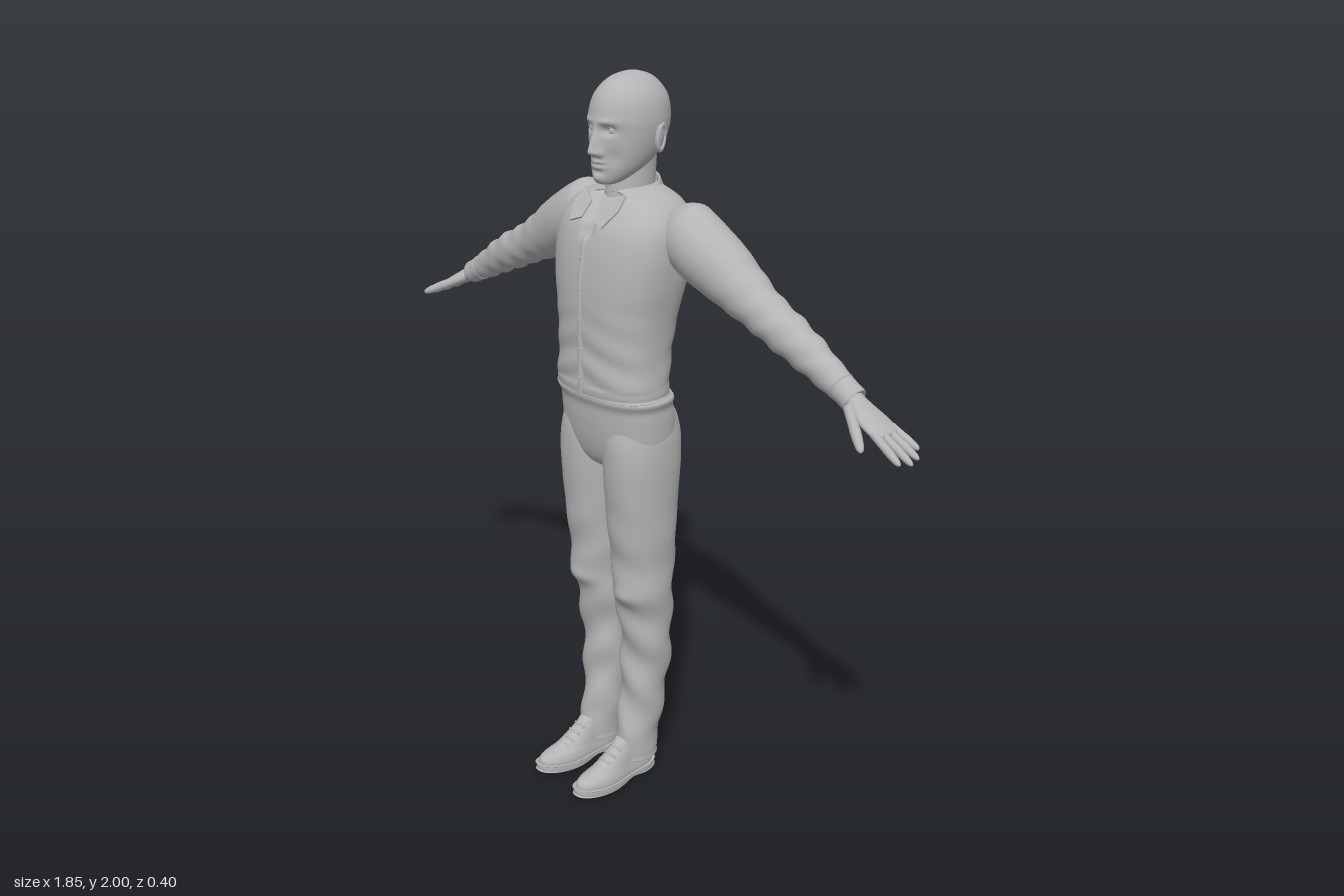
import * as THREE from 'three';

const grey = new THREE.MeshStandardMaterial({ color: 0xb4b4b4 });
grey.name = 'plain grey';

// Smooth loft through rows of [y, centreX, halfWidth, zFront, zBack, squareness]
function loft(rows, { n = 40, k = 5, mod = null, arc = null } = {}) {
  const full = rows.map(r => (r.length > 5 ? r : [...r, 1]));
  const at = i => full[Math.min(Math.max(i, 0), full.length - 1)];
  const rings = [];
  for (let i = 0; i < full.length - 1; i++) {
    for (let s = 0; s < k; s++) {
      const t = s / k;
      rings.push(at(i).map((b, c) => {
        const a = at(i - 1)[c], d = at(i + 1)[c], e = at(i + 2)[c];
        return b + 0.5 * t * (d - a + t * (2 * a - 5 * b + 4 * d - e + t * (3 * (b - d) + e - a)));
      }));
    }
  }
  rings.push(at(full.length - 1));
  const pow = (s, e) => Math.sign(s) * Math.abs(s) ** e;
  const count = arc ? n + 1 : n, [a0, a1] = arc || [0, Math.PI * 2];
  const pos = [], index = [], v = new THREE.Vector3();
  rings.forEach(([y, cx, hw, zf, zb, e], i) => {
    for (let j = 0; j < count; j++) {
      const t = a0 + (a1 - a0) * j / n;
      v.set(cx + hw * pow(Math.sin(t), e), y, (zf + zb) / 2 - (zf - zb) / 2 * pow(Math.cos(t), e));
      if (mod) mod(v, t);
      pos.push(v.x, v.y, v.z);
      if (i < rings.length - 1 && j < n) {
        const a = i * count + j, b = i * count + (j + 1) % count, c = a + count, d = b + count;
        index.push(a, c, b, b, c, d);
      }
    }
  });
  const g = new THREE.BufferGeometry();
  g.setAttribute('position', new THREE.Float32BufferAttribute(pos, 3));
  g.setIndex(index);
  g.computeVertexNormals();
  return g;
}

// Mirror across x, keeping faces outward
function mirror(geo) {
  const g = geo.clone().scale(-1, 1, 1);
  const src = g.index ? Array.from(g.index.array) : Array.from({ length: g.attributes.position.count }, (_, i) => i);
  for (let i = 0; i < src.length; i += 3) [src[i + 1], src[i + 2]] = [src[i + 2], src[i + 1]];
  g.setIndex(src);
  return g;
}

const bump = (x, y, cx, cy, sx, sy) => Math.exp(-(((x - cx) / sx) ** 2) - ((y - cy) / sy) ** 2);

// Facial relief: nose, sockets, brow, lips, chin
function face(v) {
  if (v.z < -0.03) return;
  const x = Math.abs(v.x), y = v.y;
  const up = THREE.MathUtils.smoothstep(y, 1.797, 1.812), down = THREE.MathUtils.clamp((1.885 - y) / 0.07, 0, 1);
  v.z += 0.027 * up * down * Math.exp(-((x / (0.009 + 0.006 * down)) ** 2))
    + 0.007 * bump(x, y, 0.015, 1.808, 0.006, 0.008)
    - 0.013 * bump(x, y, 0.034, 1.867, 0.017, 0.011)
    + 0.005 * bump(x, y, 0.03, 1.888, 0.026, 0.007)
    + 0.006 * bump(x, y, 0, 1.787, 0.02, 0.004)
    + 0.006 * bump(x, y, 0, 1.774, 0.018, 0.005)
    - 0.004 * bump(x, y, 0, 1.7805, 0.024, 0.0025)
    - 0.004 * bump(x, y, 0, 1.762, 0.02, 0.006)
    + 0.005 * bump(x, y, 0, 1.745, 0.02, 0.01)
    - 0.005 * bump(x, y, 0.045, 1.80, 0.014, 0.02);
}

export function createModel() {
  const model = new THREE.Group();
  const add = (name, geo) => {
    const m = new THREE.Mesh(geo, grey);
    m.name = name;
    model.add(m);
  };
  const pair = (name, geo) => {
    add(name + 'Left', geo);
    add(name + 'Right', mirror(geo));
  };

  // Head and neck
  add('head', loft([
    [1.727, 0, 0, 0.01, 0.01], [1.731, 0, 0.026, 0.034, -0.02], [1.745, 0, 0.045, 0.041, -0.06],
    [1.77, 0, 0.064, 0.043, -0.11], [1.80, 0, 0.077, 0.044, -0.145], [1.83, 0, 0.085, 0.045, -0.166],
    [1.86, 0, 0.09, 0.045, -0.178], [1.89, 0, 0.091, 0.047, -0.182], [1.93, 0, 0.085, 0.038, -0.177],
    [1.96, 0, 0.07, 0.02, -0.16], [1.985, 0, 0.046, -0.012, -0.132], [1.997, 0, 0.02, -0.05, -0.098],
    [2.0, 0, 0, -0.075, -0.075]], { n: 128, k: 8, mod: face }));
  add('neck', loft([[1.58, 0, 0.062, 0.01, -0.14], [1.64, 0, 0.06, 0.008, -0.14], [1.7, 0, 0.058, 0, -0.14],
    [1.79, 0, 0.058, -0.01, -0.145]]));
  pair('eye', new THREE.SphereGeometry(0.013, 20, 14).translate(0.034, 1.866, 0.017));
  pair('eyelid', new THREE.TorusGeometry(0.013, 0.002, 6, 20, Math.PI).scale(1.1, 0.5, 1)
    .rotateY(0.25).translate(0.034, 1.868, 0.03));
  const earTurn = g => g.rotateY(0.3).rotateX(-0.15).translate(0.092, 1.845, -0.085);
  pair('ear', earTurn(new THREE.SphereGeometry(1, 18, 14).scale(0.008, 0.033, 0.019)));
  pair('earRim', earTurn(new THREE.TorusGeometry(0.017, 0.004, 8, 28).rotateY(Math.PI / 2).scale(1, 1.8, 1).translate(0.006, 0, 0)));

  // Shirt body with an open neckline
  add('shirt', loft([
    [1.195, 0, 0, 0, 0], [1.18, 0, 0.158, 0.088, -0.115, 0.85], [1.19, 0, 0.169, 0.098, -0.125, 0.85],
    [1.22, 0, 0.168, 0.1, -0.128, 0.85], [1.3, 0, 0.164, 0.1, -0.14, 0.85], [1.4, 0, 0.171, 0.102, -0.16, 0.85],
    [1.48, 0, 0.183, 0.1, -0.178, 0.82], [1.56, 0, 0.19, 0.09, -0.192, 0.8], [1.62, 0, 0.186, 0.074, -0.193, 0.8],
    [1.66, 0, 0.168, 0.05, -0.187, 0.8], [1.688, 0, 0.14, 0.025, -0.175, 0.85], [1.707, 0, 0.1, 0, -0.16],
    [1.72, 0, 0.06, -0.02, -0.14], [1.722, 0, 0, -0.07, -0.07]], {
    n: 96, k: 8, mod: v => {
      const inV = (v.y - 1.595) * 0.5 - Math.abs(v.x);
      if (v.z > 0 && inV > 0) v.z -= Math.min(0.02, inV * 2);
      const low = THREE.MathUtils.clamp((1.45 - v.y) / 0.15, 0, 1);
      if (v.y > 1.21) v.z += 0.003 * low * Math.sin(v.y * 75 + Math.abs(v.x) * 30);
      if (v.z < -0.1) v.z += 0.012 * bump(v.x, v.y, 0, 1.5, 0.03, 0.13);
    },
  }));
  add('buttonPlacket', loft([[1.185, 0, 0.012, 0.102, 0.07], [1.22, 0, 0.013, 0.104, 0.07], [1.3, 0, 0.013, 0.104, 0.07],
    [1.4, 0, 0.013, 0.106, 0.07], [1.48, 0, 0.013, 0.104, 0.07], [1.56, 0, 0.013, 0.094, 0.06],
    [1.6, 0, 0.011, 0.083, 0.05], [1.605, 0, 0, 0.06, 0.06]], { n: 16, mod: v => { v.x -= 0.003; } }));
  [[1.23, 0.104], [1.31, 0.104], [1.39, 0.106], [1.47, 0.104], [1.55, 0.096]].forEach(([y, z], i) =>
    add('shirtButton' + (i + 1), new THREE.CylinderGeometry(0.005, 0.005, 0.004, 14).rotateX(Math.PI / 2).translate(-0.003, y, z)));

  // Collar band, higher at the back, and its two points
  add('collar', loft([[1.645, 0, 0.1, 0.058, -0.168], [1.675, 0, 0.085, 0.045, -0.161], [1.7, 0, 0.076, 0.035, -0.152],
    [1.697, 0, 0.071, 0.03, -0.146], [1.65, 0, 0.068, 0.028, -0.142]], {
    n: 56, arc: [Math.PI * 1 + 0.4, Math.PI * 3 - 0.4], mod: v => { v.y -= (v.z + 0.06) * 0.42; },
  }));
  const flap = new THREE.Shape([[0.026, 0], [0.06, -0.017], [0.082, 0.04], [0.076, 0.085], [0.026, 0.05]]
    .map(p => new THREE.Vector2(...p)));
  pair('collarPoint', new THREE.ExtrudeGeometry(flap, { depth: 0.005, bevelEnabled: false })
    .rotateX(-0.75).translate(0, 1.645, 0.068));

  // Arms, built along y and then swung out and down
  const swing = g => g.rotateZ(-2.059).translate(0.2, 1.605, 0);
  pair('sleeve', swing(loft([
    [-0.1, 0.02, 0, -0.1, -0.1], [-0.085, 0.012, 0.05, -0.06, -0.15], [-0.04, 0, 0.08, -0.03, -0.176],
    [0, 0, 0.086, -0.02, -0.181], [0.06, 0.002, 0.085, -0.02, -0.182], [0.12, 0.002, 0.08, -0.028, -0.18],
    [0.2, 0.004, 0.068, -0.04, -0.171], [0.28, 0.004, 0.057, -0.05, -0.16], [0.36, 0, 0.054, -0.054, -0.157],
    [0.45, -0.002, 0.047, -0.064, -0.153], [0.52, 0, 0.04, -0.073, -0.149], [0.575, 0, 0.034, -0.077, -0.146],
    [0.603, 0, 0.033, -0.076, -0.146], [0.605, 0, 0.026, -0.082, -0.14], [0.59, 0, 0, -0.11, -0.11]], {
    n: 48, k: 7, mod: (v, t) => {
      const w = THREE.MathUtils.clamp((v.y - 0.1) / 0.2, 0, 1) * THREE.MathUtils.clamp((0.57 - v.y) / 0.1, 0, 1);
      v.x += 0.0035 * w * Math.sin(v.y * 85 + 2 * Math.sin(t));
    },
  })));
  pair('cuffSeam', swing(new THREE.TorusGeometry(0.035, 0.002, 6, 40).rotateX(Math.PI / 2).translate(0, 0.555, -0.111)));

  // Hands
  pair('palm', swing(loft([[0.56, 0, 0.023, -0.084, -0.138], [0.61, 0, 0.021, -0.083, -0.138],
    [0.645, 0.001, 0.019, -0.07, -0.145], [0.68, 0.001, 0.017, -0.063, -0.152], [0.715, 0, 0.013, -0.064, -0.152],
    [0.728, 0, 0.008, -0.075, -0.145], [0.73, 0, 0, -0.11, -0.11]], { n: 32 })));
  const finger = (len, r) => loft([[0, 0, r, r, -r], [len * 0.45, 0, r * 0.95, r * 0.95, -r * 0.95],
    [len * 0.55, 0, r, r, -r], [len * 0.85, 0, r * 0.8, r * 0.8, -r * 0.8], [len * 0.97, 0, r * 0.45, r * 0.45, -r * 0.45],
    [len, 0, 0, 0, 0]], { n: 14, k: 4 });
  [['index', 0.105, -0.074, 0.12], ['middle', 0.116, -0.097, 0.02], ['ring', 0.108, -0.12, -0.06], ['little', 0.085, -0.141, -0.14]]
    .forEach(([name, len, z, splay]) =>
      pair(name + 'Finger', swing(finger(len, 0.0105).rotateX(splay).translate(0, 0.705, z))));
  pair('thumb', swing(finger(0.145, 0.0135).rotateX(0.58).translate(0.008, 0.615, -0.085)));

  // Trousers: hips, then legs with soft folds
  add('trouserHips', loft([[0.95, 0, 0, -0.04, -0.04], [0.96, 0, 0.06, 0.02, -0.1, 0.85], [0.99, 0, 0.12, 0.055, -0.127, 0.85],
    [1.04, 0, 0.165, 0.073, -0.143, 0.85], [1.1, 0, 0.172, 0.082, -0.15, 0.85], [1.15, 0, 0.171, 0.085, -0.138, 0.85],
    [1.185, 0, 0.166, 0.088, -0.122, 0.85], [1.19, 0, 0, 0, 0]], { n: 64 }));
  pair('trouserLeg', loft([
    [0.09, 0.078, 0, -0.04, -0.04], [0.058, 0.078, 0.047, 0.02, -0.098], [0.075, 0.078, 0.051, 0.026, -0.103],
    [0.13, 0.077, 0.053, 0.028, -0.108], [0.2, 0.076, 0.06, 0.013, -0.118], [0.3, 0.079, 0.064, 0.005, -0.128, 0.95],
    [0.4, 0.083, 0.07, 0.002, -0.133, 0.95], [0.5, 0.085, 0.074, 0.012, -0.132, 0.95], [0.57, 0.086, 0.077, 0.028, -0.132, 0.95],
    [0.62, 0.087, 0.079, 0.037, -0.133, 0.95], [0.7, 0.087, 0.081, 0.044, -0.138, 0.95], [0.8, 0.087, 0.085, 0.056, -0.14, 0.92],
    [0.9, 0.087, 0.087, 0.066, -0.146, 0.9], [1.0, 0.087, 0.088, 0.073, -0.153, 0.9], [1.08, 0.083, 0.086, 0.07, -0.155],
    [1.14, 0.078, 0.07, 0.045, -0.125], [1.16, 0.07, 0, -0.04, -0.04]], {
    n: 48, k: 8, mod: (v, t) => {
      const w = THREE.MathUtils.clamp((v.y - 0.07) / 0.1, 0, 1) * THREE.MathUtils.clamp((0.95 - v.y) / 0.35, 0, 1);
      v.z += 0.005 * w * Math.sin(v.y * 42 + 2.2 * Math.sin(t));
      v.x += 0.003 * w * Math.sin(v.y * 34 + 2 * Math.cos(t));
      if (v.z > -0.03) v.z += 0.013 * bump(v.x, v.y, 0.085, 0.595, 0.05, 0.025);
    },
  }));

  // Shoes: waisted outline, raised toe, low heel
  const shoeForm = v => {
    const waist = 1 - 0.16 * Math.exp(-(((v.z - 0.01) / 0.05) ** 2));
    v.x = 0.077 + (v.x - 0.077) * waist + 0.006 * Math.max(0, v.z) / 0.2;
    v.y += 0.014 * (Math.max(0, v.z - 0.08) / 0.12) ** 2;
    if (v.y < 0.012) v.y += 0.008 * Math.exp(-(((v.z - 0.01) / 0.035) ** 2));
  };
  pair('shoeSole', loft([[0.004, 0.077, 0, 0.05, 0.05], [0.003, 0.077, 0.044, 0.19, -0.09, 0.85], [0.008, 0.077, 0.049, 0.198, -0.096, 0.85],
    [0.022, 0.077, 0.049, 0.198, -0.096, 0.85], [0.026, 0.077, 0.045, 0.192, -0.09, 0.85], [0.026, 0.077, 0, 0.05, 0.05]],
    { n: 56, mod: shoeForm }));
  pair('shoeUpper', loft([[0.02, 0.077, 0.045, 0.191, -0.09, 0.85], [0.035, 0.077, 0.046, 0.191, -0.092, 0.88],
    [0.05, 0.077, 0.043, 0.176, -0.091, 0.92], [0.064, 0.077, 0.04, 0.14, -0.09], [0.085, 0.077, 0.038, 0.098, -0.088],
    [0.11, 0.077, 0.036, 0.058, -0.085], [0.13, 0.077, 0.032, 0.036, -0.08], [0.135, 0.077, 0, 0, 0]],
    { n: 56, mod: shoeForm }));
  [[0.118, 0.048], [0.104, 0.07], [0.09, 0.09], [0.078, 0.11]].forEach(([y, z], i) =>
    pair('lace' + (i + 1), new THREE.TorusGeometry(0.02, 0.0035, 8, 20, Math.PI)
      .scale(1, 0.6, 1).rotateX(0.6).translate(0.079, y - 0.011, z - 0.004)));

  return model;
}
